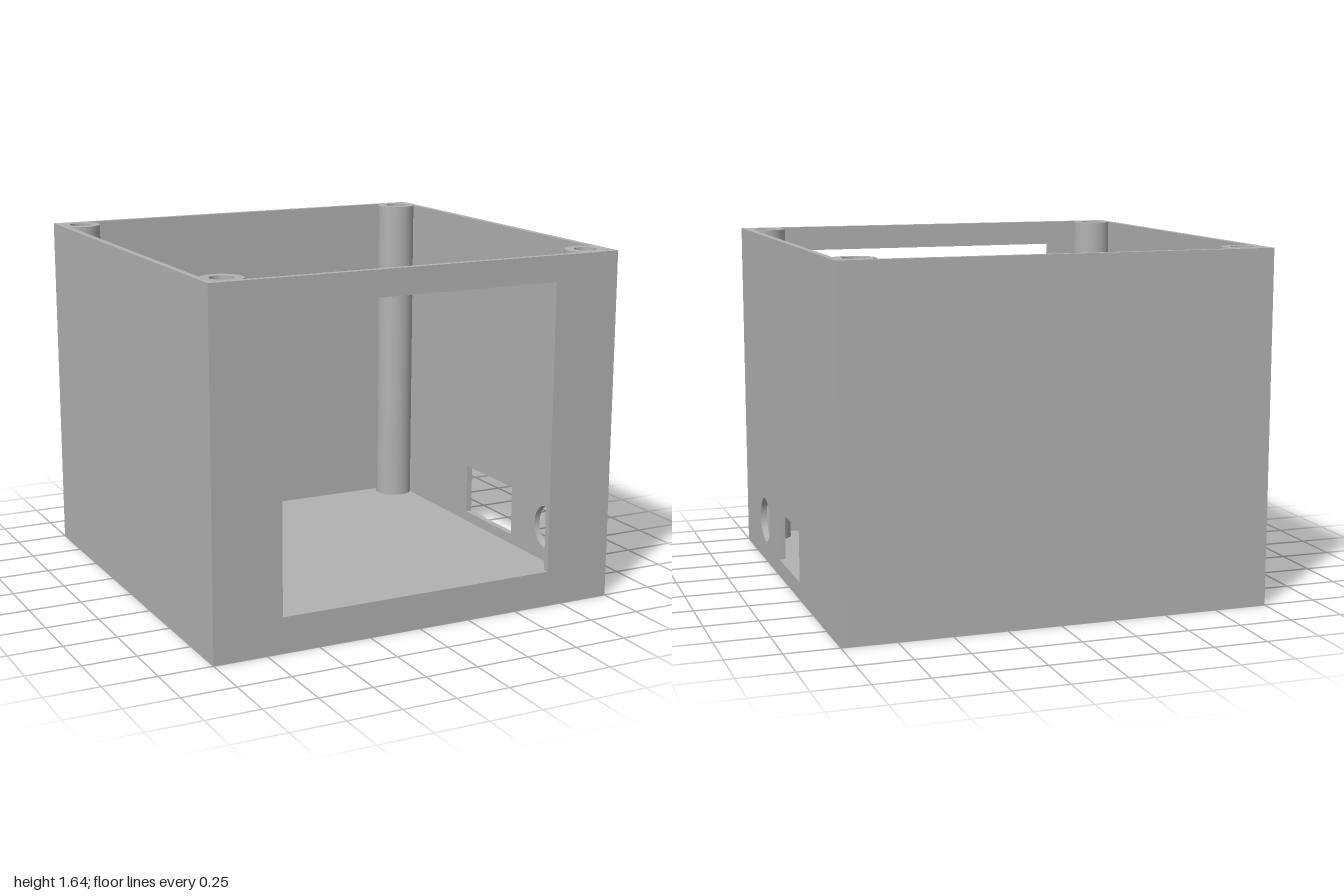
import * as THREE from 'three';
import { toCreasedNormals } from 'three/addons/utils/BufferGeometryUtils.js';

const H = 1.64;      // box height
const T = 0.03;      // wall and floor thickness
const IN = 1 - T;    // inner half width
const POST = 0.895;  // post centre offset
const POST_R = 0.096, BORE_R = 0.053;

const rect = (Type, x0, y0, x1, y1) => new Type([
  new THREE.Vector2(x0, y0), new THREE.Vector2(x1, y0),
  new THREE.Vector2(x1, y1), new THREE.Vector2(x0, y1),
]);
const circle = (Type, x, y, r) => new Type().absarc(x, y, r, 0, Math.PI * 2, false);

// Plate with holes, extruded along +z with crisp edges and smooth bores
function plate(shape, holes, depth) {
  shape.holes.push(...holes);
  const geo = new THREE.ExtrudeGeometry(shape, { depth, bevelEnabled: false, curveSegments: 24 });
  return toCreasedNormals(geo, 0.6);
}

export function createModel() {
  const group = new THREE.Group();
  group.name = 'enclosure';
  const grey = new THREE.MeshStandardMaterial({ color: 0xb2b2b2 });
  grey.name = 'grey plastic';

  const add = (name, geo) => {
    const mesh = new THREE.Mesh(geo, grey);
    mesh.name = name;
    group.add(mesh);
  };
  const corners = [[-1, -1], [1, -1], [1, 1], [-1, 1]].map(([a, b]) => [a * POST, b * POST]);

  // Floor with a screw hole under each post
  add('floor', plate(
    rect(THREE.Shape, -IN, -IN, IN, IN),
    corners.map(([x, y]) => circle(THREE.Path, x, y, BORE_R)),
    T,
  ).rotateX(-Math.PI / 2));

  // Front wall with the large display window
  add('frontWall', plate(
    rect(THREE.Shape, -1, 0, 1, H),
    [rect(THREE.Path, -0.675, 0.165, 0.675, 1.52)],
    T,
  ).translate(0, 0, IN));

  // Plain back wall
  add('backWall', plate(rect(THREE.Shape, -1, 0, 1, H), [], T).translate(0, 0, -1));

  // Side wall at +x with a round port and a rectangular port
  add('portWall', plate(
    rect(THREE.Shape, -IN, 0, IN, H),
    [circle(THREE.Path, -0.545, 0.205, 0.11), rect(THREE.Path, -0.22, 0.08, 0.22, 0.33)],
    T,
  ).rotateY(Math.PI / 2).translate(IN, 0, 0));

  // Plain side wall at -x
  add('plainSideWall', plate(rect(THREE.Shape, -IN, 0, IN, H), [], T)
    .rotateY(Math.PI / 2).translate(-1, 0, 0));

  // Hollow corner posts, merging into the walls
  corners.forEach(([x, z], i) => {
    add(`cornerPost${i + 1}`, plate(
      circle(THREE.Shape, 0, 0, POST_R),
      [circle(THREE.Path, 0, 0, BORE_R)],
      H - T,
    ).rotateX(-Math.PI / 2).translate(x, T, z));
  });

  return group;
}
